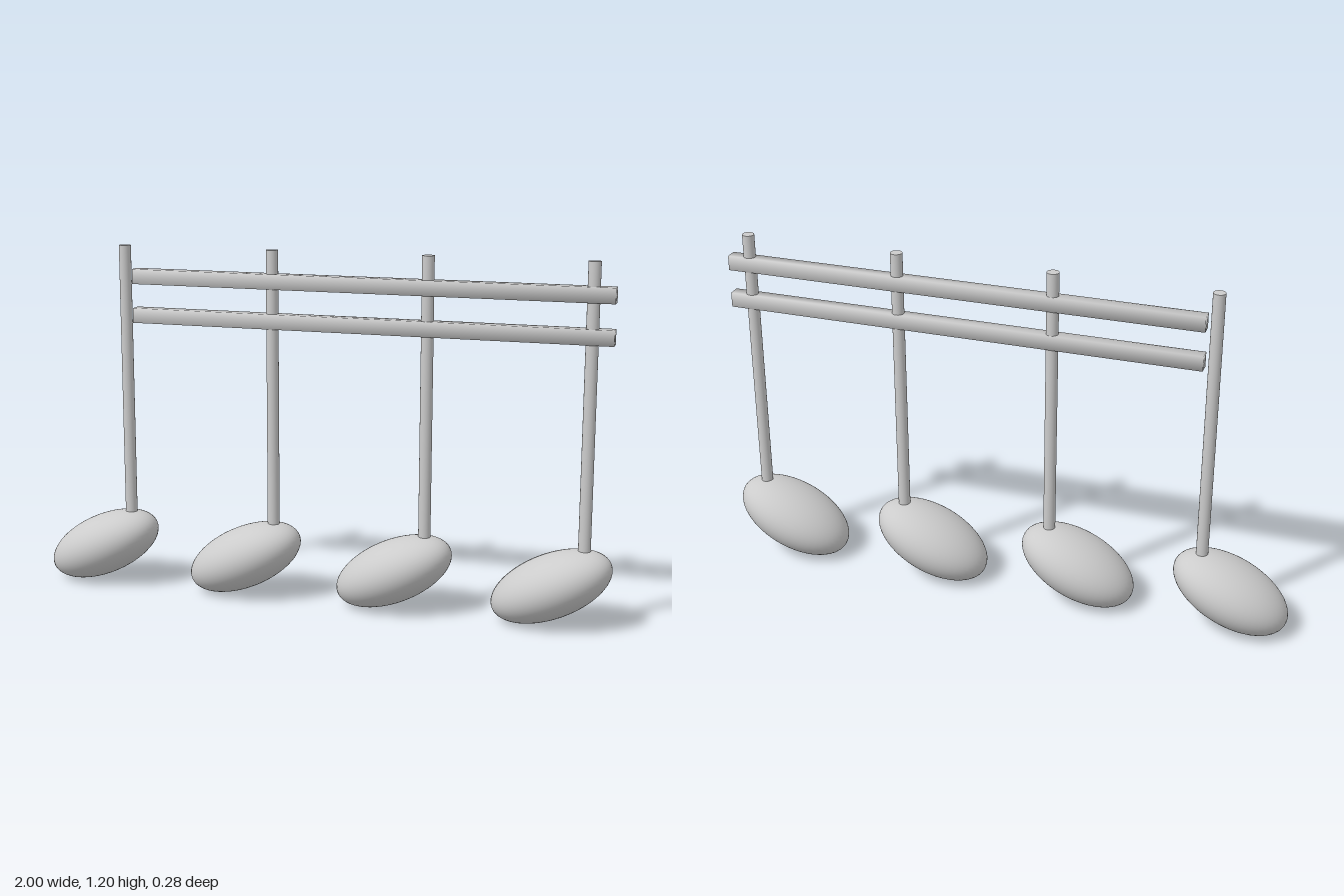
import * as THREE from 'three';
import { mergeVertices } from 'three/addons/utils/BufferGeometryUtils.js';

const material = new THREE.MeshStandardMaterial({ color: 0xcccccc });

function part(name, geometry, x, y) {
  const mesh = new THREE.Mesh(geometry, material);
  mesh.name = name;
  mesh.position.set(x, y, 0);
  return mesh;
}

// Box whose corners share normals, giving softly shaded sides
function softBox(w, h, d) {
  const box = new THREE.BoxGeometry(w, h, d);
  box.deleteAttribute('normal');
  box.deleteAttribute('uv');
  const geometry = mergeVertices(box);
  geometry.computeVertexNormals();
  return geometry;
}

export function createModel() {
  const group = new THREE.Group();
  group.name = 'beamedNotes';

  // Tilted oval note head and upright stem
  const headGeometry = new THREE.SphereGeometry(1, 48, 32);
  headGeometry.scale(0.213, 0.105, 0.14);
  headGeometry.rotateZ(THREE.MathUtils.degToRad(25));
  const stemBottom = 0.15, stemTop = 1.202;
  const stemGeometry = new THREE.CylinderGeometry(0.0205, 0.0205, stemTop - stemBottom, 32);

  for (let i = 0; i < 4; i++) {
    const x = -0.802 + i * 0.535;
    const note = new THREE.Group();
    note.name = 'note' + (i + 1);
    note.position.x = x;
    note.add(part('noteHead', headGeometry, 0, 0.131));
    note.add(part('stem', stemGeometry, 0.105, (stemBottom + stemTop) / 2));
    group.add(note);
  }

  // Two beams joining the stems
  const beamGeometry = softBox(1.643, 0.051, 0.041);
  group.add(part('upperBeam', beamGeometry, 0.158, 1.097));
  group.add(part('lowerBeam', beamGeometry, 0.158, 0.963));

  return group;
}
